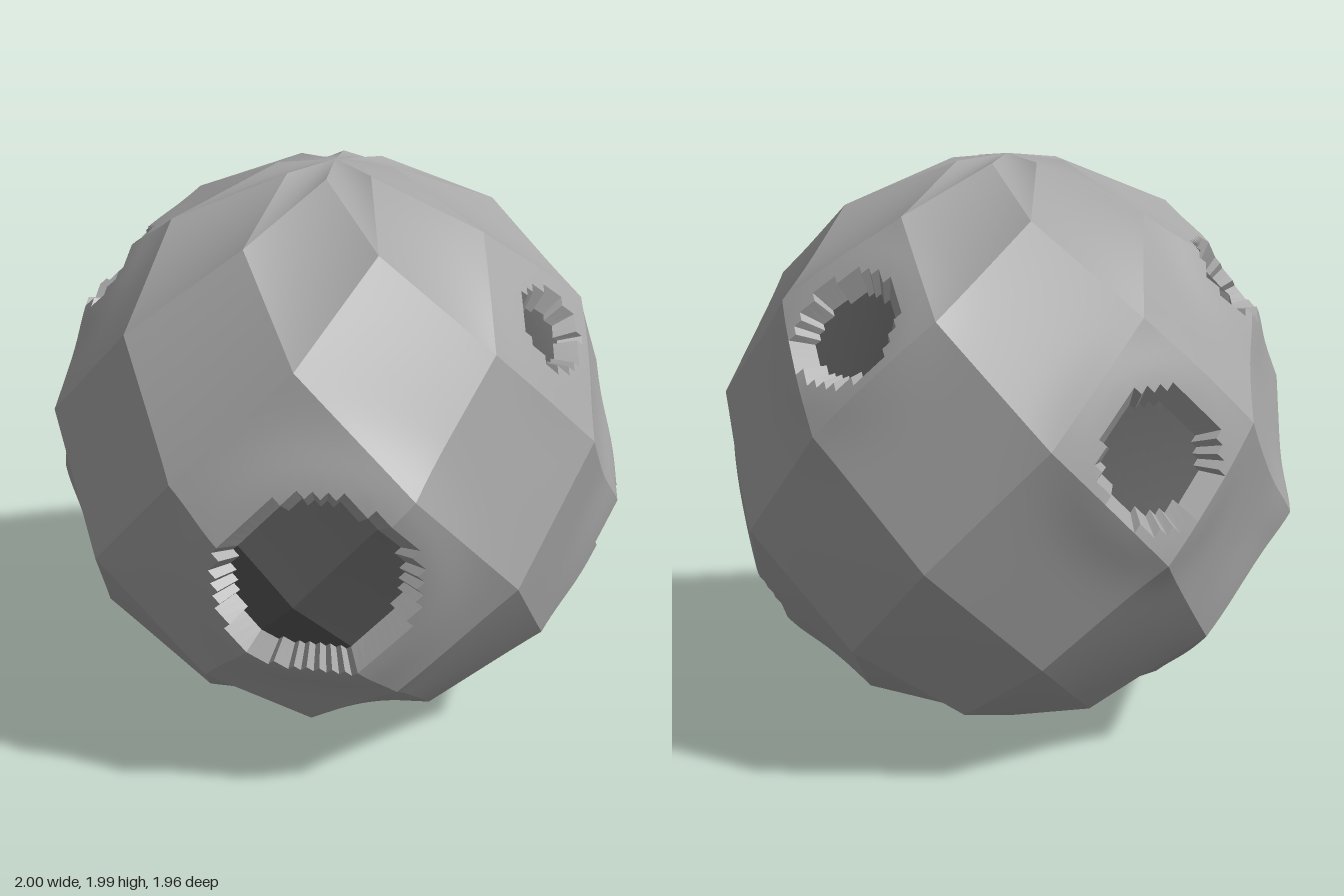
import * as THREE from 'three';

const N = 16;             // grid cells along each diamond panel
const RADIUS = 0.995;
const rad = THREE.MathUtils.degToRad;

// Craters: centre direction, radius, rim lift
const craters = [
  [0.18, -0.13, 0.97, 0.345, 0.035],
  [0.87, -0.4, -0.28, 0.325, 0.03],
  [0.78, 0.54, 0.18, 0.155, 0.012],
  [0.26, 0.52, -0.79, 0.205, 0.02],
  [-0.76, 0.14, -0.62, 0.235, 0.02],
  [-0.78, 0.62, 0.09, 0.175, 0.015],
  [-0.85, -0.54, 0.03, 0.18, 0.015],
].map(([x, y, z, r, lift]) => ({ dir: new THREE.Vector3(x, y, z).normalize(), r, lift }));

// Point on the ball: ring index counted from the top, azimuth in degrees
function ballPoint(ring, azimuth) {
  const phi = rad(THREE.MathUtils.clamp(11.25 + 22.5 * ring, 0, 180));
  return new THREE.Vector3().setFromSphericalCoords(RADIUS, phi, rad(azimuth));
}

// Swell the surface gently around every crater and at one side
function swell(p) {
  const d = p.clone().normalize();
  let h = 0;
  for (const c of craters) {
    const away = Math.max(0, d.distanceTo(c.dir) - c.r) / (0.1 + c.r * 0.15);
    h += c.lift * Math.exp(-away * away);
  }
  const side = d.distanceTo(new THREE.Vector3(-0.976, -0.195, 0.094)) / 0.14;
  h += 0.025 * Math.exp(-side * side);
  return p.addScaledVector(d, h);
}

function craterAt(p) {
  const d = p.clone().normalize();
  return craters.find((c) => d.distanceTo(c.dir) < c.r);
}

// Move a crater point down to the narrower floor
function sink(p, c) {
  const centre = c.dir.clone().multiplyScalar(p.length());
  return p.clone().lerp(centre, 0.045 / c.r).multiplyScalar(0.93);
}

function flatGeometry(points) {
  const g = new THREE.BufferGeometry().setFromPoints(points);
  g.computeVertexNormals();
  return g;
}

export function createModel() {
  const group = new THREE.Group();
  const stone = new THREE.MeshStandardMaterial({ color: 0xa6a6a6 });
  stone.name = 'light grey stone';
  const dark = new THREE.MeshStandardMaterial({ color: 0x585858 });
  dark.name = 'dark grey crater floor';

  const ball = new THREE.Group();
  ball.position.y = 1;
  group.add(ball);
  const add = (geometry, material, name) => {
    const mesh = new THREE.Mesh(geometry, material);
    mesh.name = name;
    ball.add(mesh);
  };

  const floor = [];
  const edges = new Map();
  const key = (p) => p.toArray().map((v) => Math.round(v * 2000)).join();

  // Keep only the edges on the crater outline: shared ones cancel out
  const addEdge = (a, b, crater) => {
    const back = key(b) + '|' + key(a);
    if (edges.has(back)) edges.delete(back);
    else edges.set(key(a) + '|' + key(b), { a, b, crater });
  };

  // Diamond panels, staggered from ring to ring
  for (let ring = 0; ring < 8; ring++) {
    for (let k = 0; k < 8; k++) {
      const az = 5.5 + 45 * k + (ring % 2) * 22.5;
      const top = ballPoint(ring - 1, az + 22.5);
      const left = ballPoint(ring, az);
      const right = ballPoint(ring, az + 45);
      const bottom = ballPoint(ring + 1, az + 22.5);

      const grid = [];
      for (let i = 0; i <= N; i++) {
        for (let j = 0; j <= N; j++) {
          const u = i / N, v = j / N;
          grid.push(swell(top.clone().lerp(left, u).lerp(right.clone().lerp(bottom, u), v)));
        }
      }

      const index = [];
      for (let i = 0; i < N; i++) {
        for (let j = 0; j < N; j++) {
          const a = i * (N + 1) + j, b = a + N + 1, c = b + 1, d = a + 1;
          const corners = [grid[a], grid[b], grid[c], grid[d]];
          const middle = corners[0].clone().add(corners[1]).add(corners[2]).add(corners[3]);
          const crater = craterAt(middle);
          if (!crater) {
            index.push(a, b, c, a, c, d);
            continue;
          }
          const [p, q, r, s] = corners.map((corner) => sink(corner, crater));
          floor.push(p, q, r, p, r, s);
          corners.forEach((corner, n) => addEdge(corner, corners[(n + 1) % 4], crater));
        }
      }
      if (!index.length) continue;
      const panel = new THREE.BufferGeometry().setFromPoints(grid);
      panel.setIndex(index);
      panel.computeVertexNormals();
      add(panel.toNonIndexed(), stone, 'surfacePanel');
    }
  }

  // Jagged walls joining the surface to the crater floors
  const wall = [];
  for (const { a, b, crater } of edges.values()) {
    const a2 = sink(a, crater), b2 = sink(b, crater);
    wall.push(a, b, b2, a, b2, a2);
  }
  add(flatGeometry(wall), stone, 'craterWalls');
  add(flatGeometry(floor), dark, 'craterFloors');

  return group;
}
